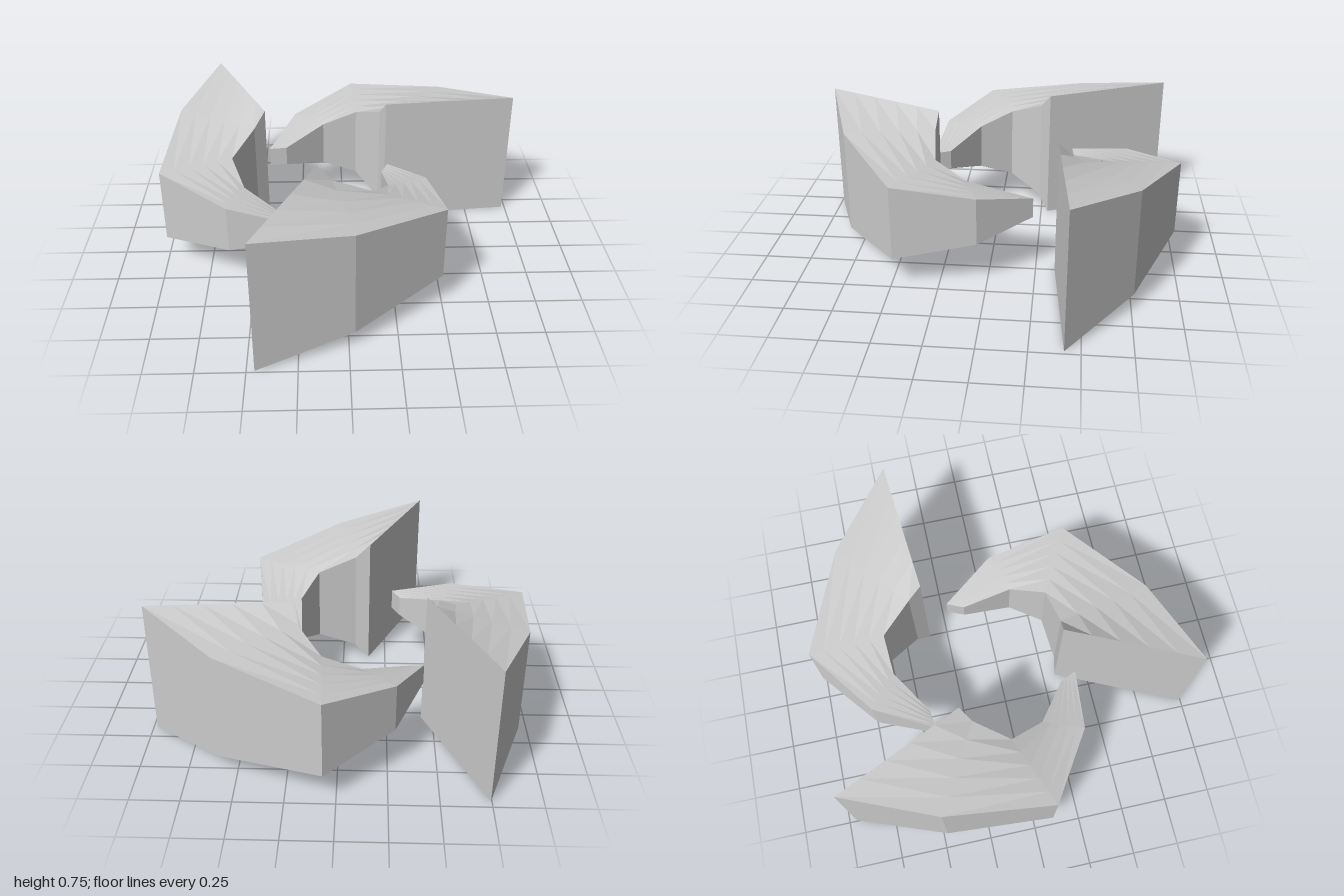
import * as THREE from 'three';

// Stations along one blade, relative to its tall outer tip:
// [outer x, outer z, inner x, inner z, half height]
const STATIONS = [
  [0, 0, 0.31, -0.67, 0.373],
  [0.49, -0.17, 0.39, -0.66, 0.29],
  [0.96, -0.505, 0.60, -0.69, 0.205],
  [0.90, -0.94, 0.69, -0.865, 0.13],
  [0.71, -1.22, 0.67, -1.13, 0.055],
];
const MID = 0.373;
const STRIPS = 5; // lengthwise strips that follow the twist of top and bottom

// Ring of corners: across the top to the inner wall, back along the bottom
function ring([ox, oz, ix, iz, h]) {
  const row = [];
  for (let j = 0; j <= STRIPS; j++) {
    const t = j / STRIPS;
    row.push([ox + (ix - ox) * t, oz + (iz - oz) * t]);
  }
  return [
    ...row.map(([x, z]) => [x, MID + h, z]),
    ...row.reverse().map(([x, z]) => [x, MID - h, z]),
  ];
}

function bladeGeometry() {
  const rings = STATIONS.map(ring);
  const n = rings[0].length;
  const pos = [];
  const quad = (a, b, c, d) => pos.push(...a, ...b, ...c, ...a, ...c, ...d);

  // Skin between neighbouring stations
  for (let i = 0; i < rings.length - 1; i++) {
    for (let j = 0; j < n; j++) {
      const k = (j + 1) % n;
      quad(rings[i][j], rings[i + 1][j], rings[i + 1][k], rings[i][k]);
    }
  }

  // Flat walls closing the tall tip and the narrow tail
  const first = rings[0], last = rings[rings.length - 1];
  quad(first[0], first[STRIPS], first[STRIPS + 1], first[n - 1]);
  quad(last[0], last[n - 1], last[STRIPS + 1], last[STRIPS]);

  const geo = new THREE.BufferGeometry();
  geo.setAttribute('position', new THREE.Float32BufferAttribute(pos, 3));
  geo.computeVertexNormals();
  return geo;
}

export function createModel() {
  const group = new THREE.Group();
  group.name = 'bladeRing';
  const geo = bladeGeometry();
  const mat = new THREE.MeshStandardMaterial({ color: 0xcccccc, flatShading: true });

  // Three equal blades: name, tip x, tip z, turn in degrees
  const blades = [
    ['frontBlade', -0.46, 0.99, 0],
    ['backBlade', 0.98, -0.42, 120],
    ['rightBlade', -0.745, -0.96, -130.7],
  ];
  for (const [name, x, z, turn] of blades) {
    const blade = new THREE.Mesh(geo, mat);
    blade.name = name;
    blade.position.set(x, 0, z);
    blade.rotation.y = THREE.MathUtils.degToRad(turn);
    group.add(blade);
  }
  return group;
}
